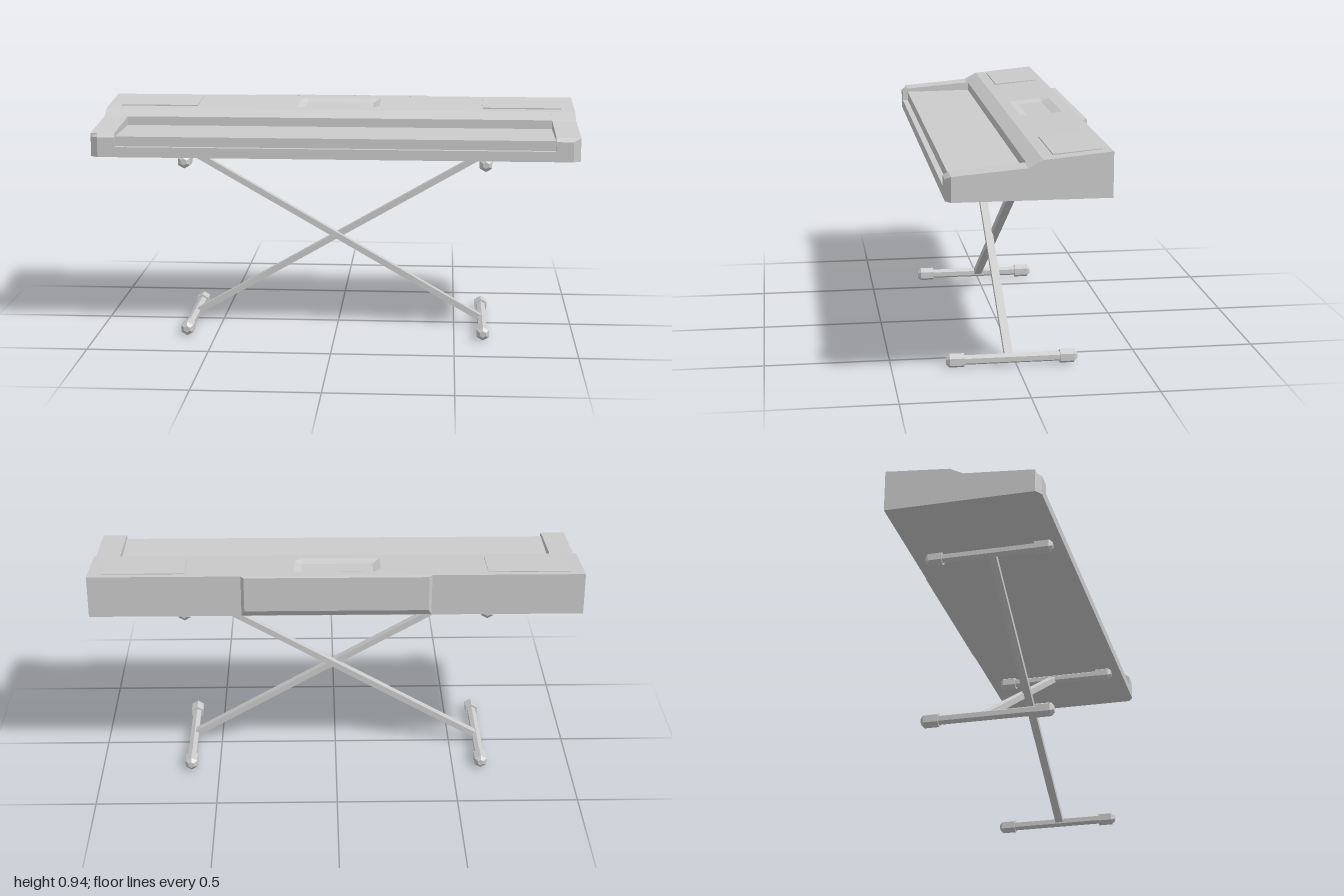
import * as THREE from 'three';

const material = new THREE.MeshStandardMaterial({ color: 0xcccccc, flatShading: true });

function add(parent, name, geometry, x = 0, y = 0, z = 0) {
  const mesh = new THREE.Mesh(geometry, material);
  mesh.name = name;
  mesh.position.set(x, y, z);
  parent.add(mesh);
  return mesh;
}

// Moves every vertex by a rule, then refreshes the facets
function reshape(geometry, rule) {
  const p = geometry.attributes.position;
  const v = new THREE.Vector3();
  for (let i = 0; i < p.count; i++) {
    v.fromBufferAttribute(p, i);
    rule(v);
    p.setXYZ(i, v.x, v.y, v.z);
  }
  geometry.computeVertexNormals();
  return geometry;
}

// Extrudes a (z, y) side profile through a list of x stations; rule gets the station index
function sideExtrude(profile, stations, rule) {
  const shape = new THREE.Shape(profile.map(([z, y]) => new THREE.Vector2(z, y)));
  const steps = stations.length - 1;
  const g = new THREE.ExtrudeGeometry(shape, { depth: steps, steps, bevelEnabled: false });
  g.rotateY(-Math.PI / 2).translate(steps, 0, 0);
  return reshape(g, (v) => {
    const i = Math.round(v.x);
    v.x = stations[i];
    rule(v, i);
  });
}

// Height of the sloping control panel
const deckY = (z) => 0.918 + (-0.04 - z) * 0.096;

function createCase() {
  const body = new THREE.Group();
  body.name = 'keyboardCase';

  // Middle section: key bed, control deck and a bevelled display recess
  const middle = [
    [0.32, 0.768], [0.32, 0.81], [0.297, 0.81], [0.297, 0.85], [0.01, 0.853], [0.01, 0.89],
    [-0.04, 0.918], [-0.085, deckY(-0.085)], [-0.12, deckY(-0.12) - 0.012],
    [-0.22, deckY(-0.22) - 0.012], [-0.255, deckY(-0.255)], [-0.302, 0.943], [-0.302, 0.768],
  ];
  add(body, 'keyBedAndDeck', sideExtrude(middle, [-0.9, -0.18, -0.15, 0.14, 0.17, 0.9], (v, i) => {
    const inRecess = i === 2 || i === 3;
    if (!inRecess && v.y > 0.9 && v.z < -0.1 && v.z > -0.25) v.y = deckY(v.z);
  }));

  // End cheeks with chamfered front corners
  const cheek = [
    [0.32, 0.768], [0.32, 0.85], [0.3, 0.865], [0.015, 0.889],
    [-0.04, 0.918], [-0.302, 0.943], [-0.302, 0.768],
  ];
  for (const [name, stations] of [['leftCheek', [0.9, 0.97, 1]], ['rightCheek', [-1, -0.97, -0.9]]]) {
    add(body, name, sideExtrude(cheek, stations, (v) => {
      if (Math.abs(v.x) > 0.99) v.z = Math.min(v.z, 0.3);
    }));
  }

  // Slightly raised speaker panels, proudest at the front edge
  for (const side of [1, -1]) {
    const panel = new THREE.BoxGeometry(0.33, 0.02, 0.185).translate(side * 0.777, 0, -0.177);
    reshape(panel, (v) => {
      const lift = v.z > -0.177 ? 0.005 : 0.003;
      v.y = deckY(v.z) + (v.y > 0 ? lift : -0.01);
    });
    add(body, side > 0 ? 'leftSpeakerPanel' : 'rightSpeakerPanel', panel);
  }

  // Rear housing tapering at its sides and underside
  const housing = new THREE.BoxGeometry(0.77, 0.175, 0.02).translate(0, 0.8555, -0.311);
  add(body, 'rearHousing', reshape(housing, (v) => {
    if (v.z < -0.311) {
      v.x *= 0.965;
      if (v.y < 0.8) v.y = 0.797;
    }
  }));
  return body;
}

// Six-sided bar with rubber end caps, lying along z
function createCrossBar(name, x, y) {
  const bar = new THREE.Group();
  bar.name = name;
  bar.position.set(x, y, 0.019);
  add(bar, 'tube', new THREE.CylinderGeometry(0.02, 0.02, 0.42, 6).rotateX(Math.PI / 2));
  for (const side of [1, -1]) {
    const profile = [[0, 0.193], [0.029, 0.193], [0.029, 0.251], [0.014, 0.264], [0, 0.264]];
    const cap = new THREE.LatheGeometry(profile.map(([r, h]) => new THREE.Vector2(r, h)), 6);
    cap.rotateX(Math.PI / 2);
    if (side < 0) cap.rotateY(Math.PI);
    add(bar, side > 0 ? 'frontCap' : 'backCap', cap);
  }
  return bar;
}

function createStand() {
  const stand = new THREE.Group();
  stand.name = 'crossedStand';
  const low = 0.03, high = 0.744, reach = 0.62;
  for (const side of [1, -1]) {
    const label = side > 0 ? 'left' : 'right';
    stand.add(createCrossBar(label + 'Foot', side * reach, low));
    stand.add(createCrossBar(label + 'Support', side * reach, high));

    // Diagonal leg rising toward this side
    const length = Math.hypot(2 * reach, high - low);
    const leg = add(stand, label + 'RisingLeg', new THREE.BoxGeometry(length, 0.025, 0.033),
      0, (low + high) / 2, side > 0 ? 0.002 : 0.031);
    leg.rotation.z = side * Math.atan2(high - low, 2 * reach);
  }
  return stand;
}

export function createModel() {
  const model = new THREE.Group();
  model.name = 'stagePiano';
  model.add(createCase(), createStand());
  return model;
}
